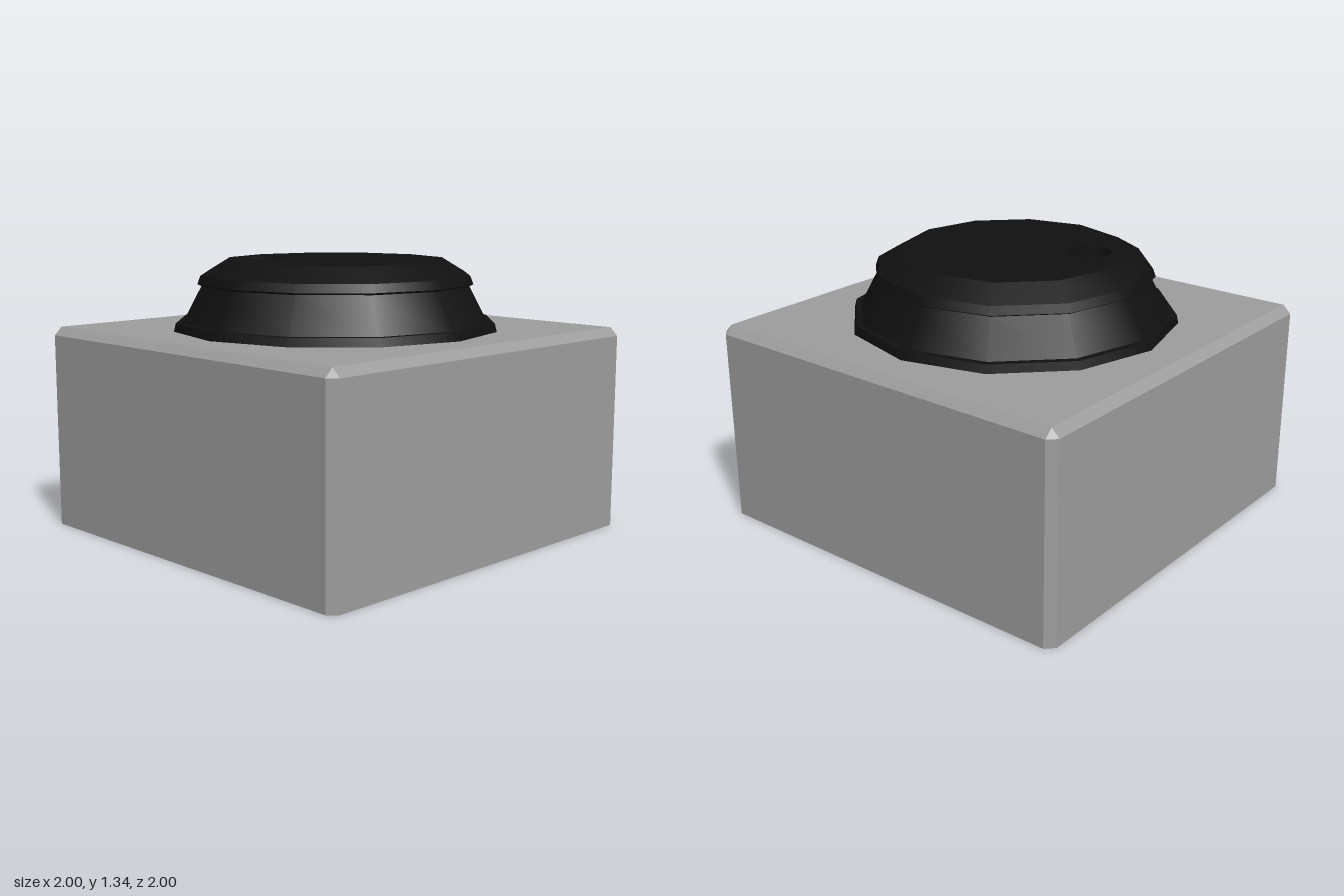
import * as THREE from 'three';
import { mergeGeometries } from 'three/addons/utils/BufferGeometryUtils.js';

const grey = new THREE.MeshStandardMaterial({ color: 0x9d9d9d, side: THREE.DoubleSide });
const black = new THREE.MeshStandardMaterial({ color: 0x101010, side: THREE.DoubleSide });

function add(parent, name, geometry, material) {
  const mesh = new THREE.Mesh(geometry, material);
  mesh.name = name;
  parent.add(mesh);
  return mesh;
}

// Open-bottomed box with chamfered upright and top edges
function boxGeometry(half, height, cut) {
  const inner = half - cut, low = height - cut;
  const outline = [], top = [];
  for (const [sx, sz] of [[1, 1], [1, -1], [-1, -1], [-1, 1]]) {
    const a = [sx * inner, sz * half], b = [sx * half, sz * inner];
    outline.push(...(sx * sz > 0 ? [a, b] : [b, a]));
    top.push([sx * inner, sz * inner], [sx * inner, sz * inner]);
  }
  const pos = [];
  const tri = (...pts) => pts.forEach((p) => pos.push(...p));
  for (let i = 0; i < 8; i++) {
    const j = (i + 1) % 8;
    const at = (p, y) => [p[0], y, p[1]];
    const a = at(outline[i], 0), b = at(outline[j], 0);
    const c = at(outline[j], low), d = at(outline[i], low);
    const e = at(top[j], height), f = at(top[i], height);
    tri(a, b, c, a, c, d); // wall or upright chamfer
    tri(d, c, e); // top chamfer, or the corner triangle
    if (i % 2) tri(d, e, f);
  }
  const [p, q, r, s] = [0, 2, 4, 6].map((k) => [top[k][0], height, top[k][1]]);
  tri(p, q, r, p, r, s);
  const g = new THREE.BufferGeometry();
  g.setAttribute('position', new THREE.Float32BufferAttribute(pos, 3));
  g.computeVertexNormals();
  return g;
}

// Twelve-sided bands, smooth around and creased between one another
function bands(profile) {
  const parts = [];
  for (let i = 0; i < profile.length - 1; i++) {
    const pts = [profile[i], profile[i + 1]].map(([r, y]) => new THREE.Vector2(r, y));
    parts.push(new THREE.LatheGeometry(pts, 12));
  }
  return mergeGeometries(parts);
}

function ring(n, radius, start, cx = 0, cy = 0) {
  return Array.from({ length: n }, (_, i) => {
    const a = start + (i / n) * Math.PI * 2;
    return new THREE.Vector2(cx + radius * Math.cos(a), cy + radius * Math.sin(a));
  });
}

export function createModel() {
  const model = new THREE.Group();
  model.name = 'boxWithLid';

  add(model, 'box', boxGeometry(1, 1, 0.04), grey);

  const lid = new THREE.Group();
  lid.name = 'lid';
  model.add(lid);

  // Foot rim, sloping wall and overhanging cap edge
  const topY = 1.335;
  add(lid, 'lidWall', bands([
    [0.8, 1], [0.79, 1.04], [0.757, 1.04], [0.664, 1.215],
    [0.683, 1.225], [0.668, 1.265], [0.55, topY],
  ]), black);

  // Flat top with an eight-sided opening
  const hx = -0.32, hz = 0.185, hr = 0.108, turn = 0.3;
  const shape = new THREE.Shape(ring(12, 0.55, 0));
  shape.holes.push(new THREE.Path(ring(8, hr, -turn, hx, -hz)));
  const top = new THREE.ShapeGeometry(shape);
  top.rotateX(-Math.PI / 2);
  top.translate(0, topY, 0);
  add(lid, 'lidTop', top, black);

  // Short dark wall inside the opening
  const depth = 0.065;
  const wall = new THREE.CylinderGeometry(hr, hr, depth, 8, 1, true, Math.PI / 2 - turn);
  add(lid, 'openingWall', wall, black).position.set(hx, topY - depth / 2, hz);

  // Grey, slightly dished floor of the opening
  const dish = [[0, -0.02], [0.06, -0.014], [hr, 0]].map(([r, y]) => new THREE.Vector2(r, y));
  const floor = new THREE.LatheGeometry(dish, 8, Math.PI / 2 - turn);
  add(lid, 'openingFloor', floor, grey).position.set(hx, topY - depth, hz);

  return model;
}
